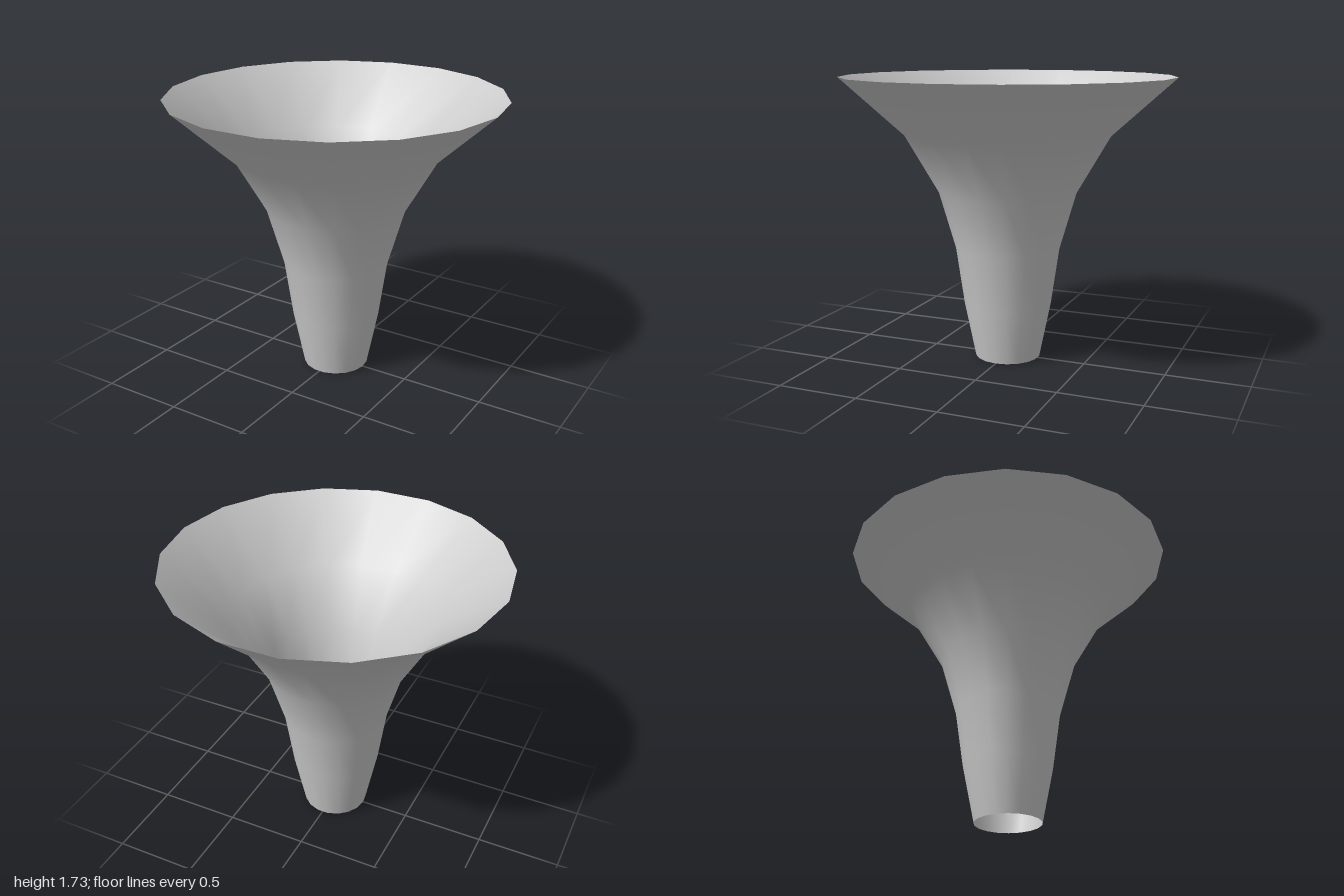
import * as THREE from 'three';

export function createModel() {
  const group = new THREE.Group();
  const height = 1.73;

  // Flared, open-ended profile: radii at equal height steps, bottom to top
  const radii = [0.2, 0.27, 0.32, 0.42, 0.62, 1];
  const profile = radii.map((r, i) => new THREE.Vector2(r, (height * i) / (radii.length - 1)));

  // Thin 18-sided shell with a corner of the rim on the x axis
  const geometry = new THREE.LatheGeometry(profile, 18, Math.PI / 2);
  const material = new THREE.MeshStandardMaterial({ color: 0xcccccc, side: THREE.DoubleSide });
  const funnel = new THREE.Mesh(geometry, material);
  funnel.name = 'flaredFunnel';
  group.add(funnel);

  return group;
}
